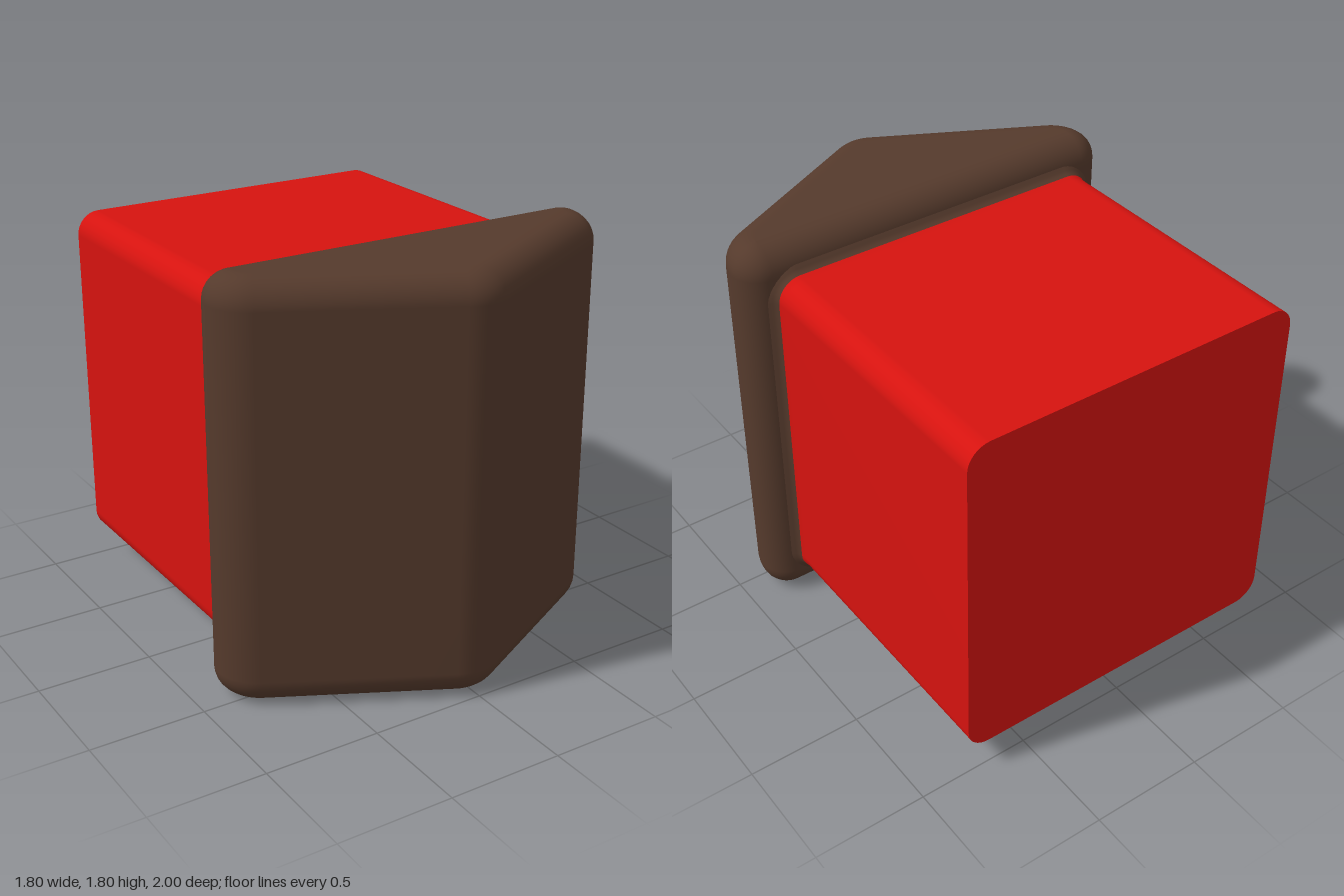
import * as THREE from 'three';

const HALF = 0.775, CORNER = 0.1, MID = 0.9;

// Outline from corner arcs, counter-clockwise: [u, v, radius, startDeg, endDeg]
function outline(corners, steps = 8) {
  const pts = [];
  for (const [u, v, r, a0, a1] of corners) {
    for (let i = 0; i <= steps; i++) {
      const a = THREE.MathUtils.degToRad(a0 + (a1 - a0) * i / steps);
      pts.push([u + r * Math.cos(a), v + r * Math.sin(a)]);
    }
  }
  return pts;
}

// Smooth skin through rings of equal length stacked along +z; optional end caps
function loft(rings, capped = false) {
  const n = rings[0].pts.length, pos = [], idx = [];
  for (const { w, pts } of rings) for (const [u, v] of pts) pos.push(u, v, w);
  for (let i = 0; i < rings.length - 1; i++) {
    for (let j = 0; j < n; j++) {
      const a = i * n + j, b = i * n + (j + 1) % n;
      idx.push(a, b, b + n, a, b + n, a + n);
    }
  }
  if (capped) {
    const t = (rings.length - 1) * n;
    for (let j = 1; j < n - 1; j++) idx.push(0, j + 1, j, t, t + j, t + j + 1);
  }
  const g = new THREE.BufferGeometry();
  g.setAttribute('position', new THREE.Float32BufferAttribute(pos, 3));
  g.setIndex(idx);
  g.computeVertexNormals();
  return g;
}

// Rounded square whose corner centres stay fixed as it grows
function square(half) {
  const c = HALF - CORNER, r = half - c;
  return outline([[c, c, r, 0, 90], [-c, c, r, 90, 180], [-c, -c, r, 180, 270], [c, -c, r, 270, 360]]);
}

// Wedge plan (v points to the back), shrunk by an inset
function wedge(inset) {
  const s = THREE.MathUtils.radToDeg(Math.atan2(0.8 - 0.435, 0.7));
  const rb = 0.12 - inset, rf = 0.2 - inset;
  return outline([
    [0.78, -0.435, rb, 0, 90],
    [-0.78, -0.435, rb, 90, 180],
    [-0.7, -0.435, rf, 180, 270 - s],
    [0, -0.8, rf, 270 - s, 270 + s],
    [0.7, -0.435, rf, 270 + s, 360],
  ]);
}

export function createModel() {
  const group = new THREE.Group();
  const brown = new THREE.MeshStandardMaterial({ color: 0x553a2c });
  const red = new THREE.MeshStandardMaterial({ color: 0xd6130f });
  const add = (name, geometry, material) => {
    const mesh = new THREE.Mesh(geometry, material);
    mesh.name = name;
    group.add(mesh);
    return mesh;
  };
  const squareLoft = profile => loft(profile.map(([half, w]) => ({ w, pts: square(half) })));

  // Pointed head with rounded edges above and below
  const r = 0.12, steps = 8, rings = [];
  for (const side of [-1, 1]) {
    for (let i = 0; i <= steps; i++) {
      const t = i / steps * Math.PI / 2;
      const a = side < 0 ? t - Math.PI / 2 : t;
      rings.push({ w: MID + side * (MID - r) + r * Math.sin(a), pts: wedge(r * (1 - Math.cos(a))) });
    }
  }
  add('pointedHead', loft(rings, true).rotateX(-Math.PI / 2), brown);

  // Concave neck flaring from the block into the head
  add('neck', squareLoft([[0.78, 0.285], [0.786, 0.298], [0.796, 0.309], [0.815, 0.322], [0.84, 0.345]]), brown)
    .position.y = MID;

  // Square block with rounded long edges
  add('block', squareLoft([[HALF, -1], [HALF, 0.25], [0.7765, 0.268], [0.78, 0.285]]), red)
    .position.y = MID;

  // Flat back end of the block
  const back = new THREE.ShapeGeometry(new THREE.Shape(square(HALF).map(p => new THREE.Vector2(...p))));
  add('blockEnd', back.rotateY(Math.PI), red).position.set(0, MID, -1);

  return group;
}
